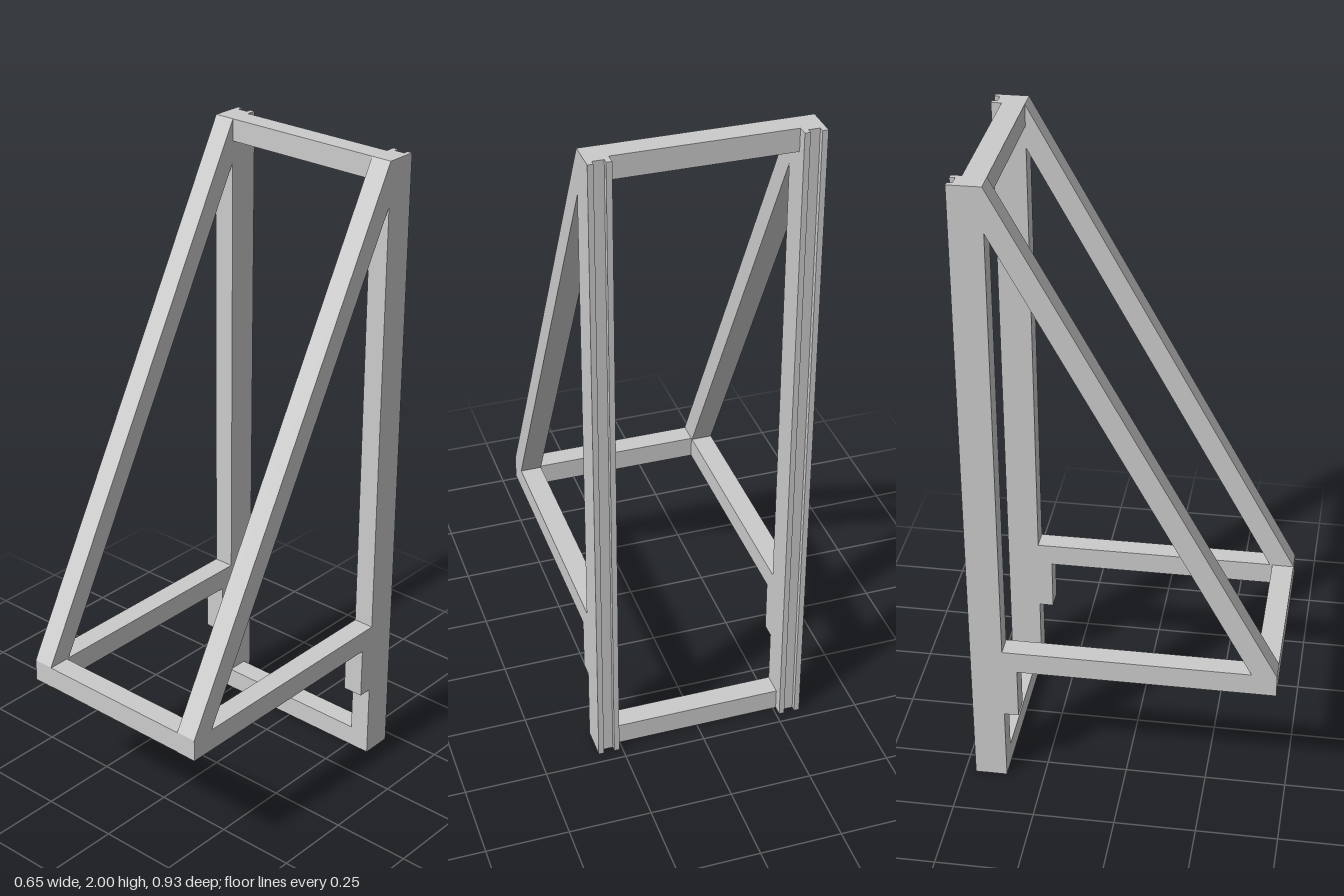
import * as THREE from 'three';

const BAR = 0.066;      // width of every side member
const INNER = 0.26;     // inner face of the side frames
const BACK = -0.466, FRONT = 0.466, POST_FRONT = -0.367;

function extrude(points, depth) {
  const shape = new THREE.Shape(points.map(([x, y]) => new THREE.Vector2(x, y)));
  return new THREE.ExtrudeGeometry(shape, { depth, bevelEnabled: false });
}

export function createModel() {
  const model = new THREE.Group();
  const material = new THREE.MeshStandardMaterial({ color: 0xcccccc, flatShading: true });
  const add = (name, geometry, x = 0, y = 0, z = 0) => {
    const mesh = new THREE.Mesh(geometry, material);
    mesh.name = name;
    mesh.position.set(x, y, z);
    model.add(mesh);
  };

  // Upright post: U-shaped section with a groove along its back, drawn as (x, -z)
  const h = BAR / 2, g = 0.0165, groove = -0.45;
  const postGeometry = extrude([
    [-h, -POST_FRONT], [h, -POST_FRONT], [h, -BACK], [g, -BACK],
    [g, -groove], [-g, -groove], [-g, -BACK], [-h, -BACK],
  ], 2).rotateX(-Math.PI / 2);

  // Triangular brace: sloping strut, level arm and stepped bracket, drawn as (z, y)
  const braceGeometry = extrude([
    [POST_FRONT, 2], [FRONT, 0.475], [FRONT, 0.405], [-0.323, 0.405],
    [-0.323, 0.24], [POST_FRONT, 0.24], [POST_FRONT, 0.475],
    [0.39, 0.475], [POST_FRONT, 1.865],
  ], BAR).rotateY(-Math.PI / 2).translate(h, 0, 0);

  for (const [side, sign] of [['left', 1], ['right', -1]]) {
    const x = sign * (INNER + h);
    add(`${side}Post`, postGeometry, x);
    add(`${side}Brace`, braceGeometry, x);
  }

  // Cross bars joining the two sides
  const crossBar = new THREE.BoxGeometry(INNER * 2, 0.068, 0.068);
  add('topCrossBar', crossBar, 0, 1.966, POST_FRONT - 0.034);
  add('bottomCrossBar', crossBar, 0, 0.034, POST_FRONT - 0.034);
  add('frontCrossBar', crossBar, 0, 0.44, FRONT - 0.034);

  return model;
}
